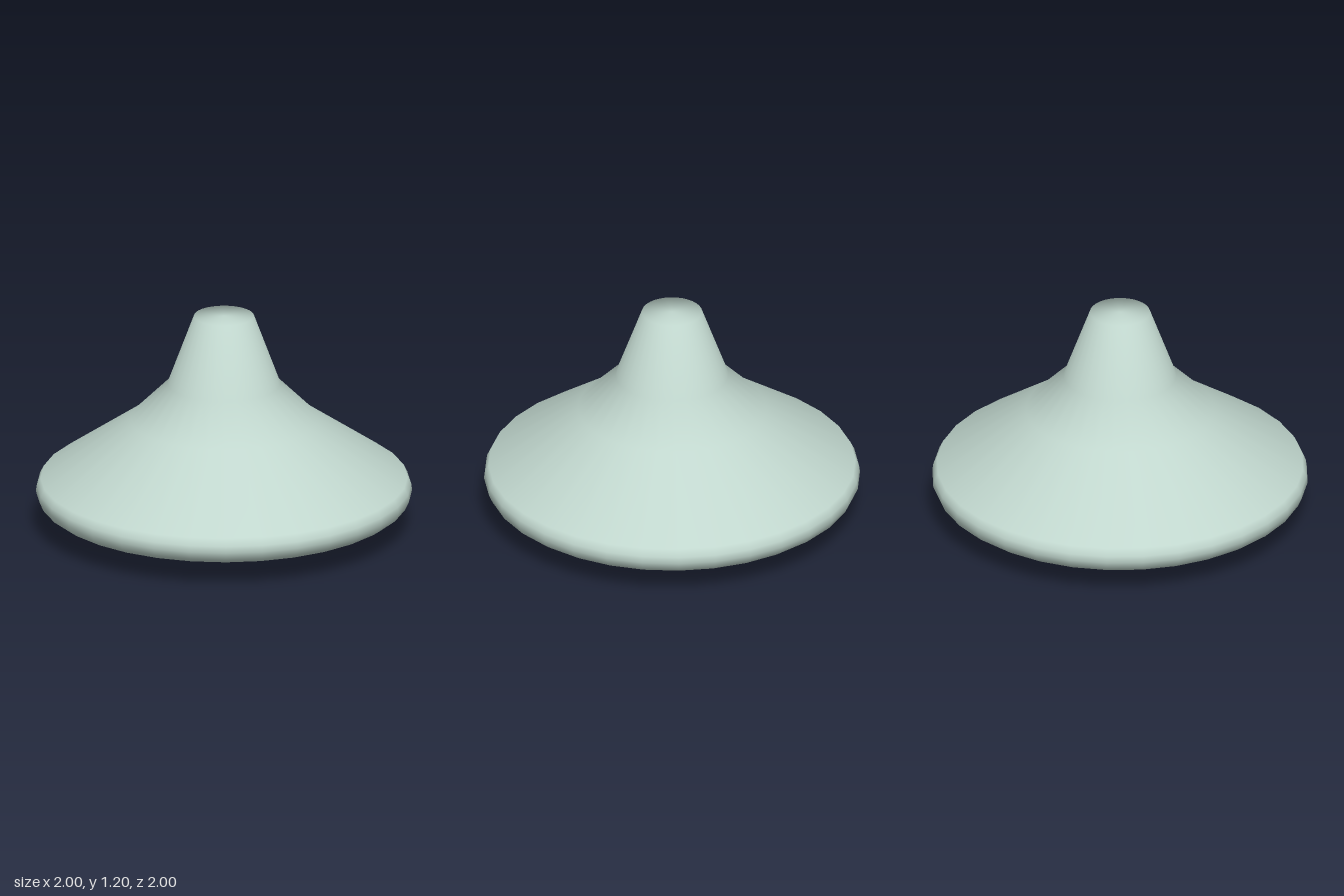
import * as THREE from 'three';

// Revolve a profile of [radius, height] pairs, listed bottom centre to top
function turned(name, profile, segments, color) {
  const points = profile.map(([r, y]) => new THREE.Vector2(r, y));
  const mesh = new THREE.Mesh(
    new THREE.LatheGeometry(points, segments),
    new THREE.MeshStandardMaterial({ color })
  );
  mesh.name = name;
  return mesh;
}

export function createModel() {
  const lamp = new THREE.Group();
  lamp.name = 'pendantLamp';

  // Shade: inner wall, rolled rim, flared body, tapered neck and closed top
  lamp.add(turned('shade', [
    [0.815, 0.36], [0.84, 0.21], [0.85, 0.155], [0.88, 0.14],
    [0.945, 0.145], [0.98, 0.17], [1, 0.215], [0.995, 0.25], [0.975, 0.29],
    [0.5, 0.62], [0.3, 0.82], [0.16, 1.2], [0, 1.2],
  ], 32, 0xc0d6cd));

  // Dark reflector closing the inside of the shade
  lamp.add(turned('reflector', [[0, 0.36], [0.4, 0.36], [0.815, 0.36]], 32, 0x222222));

  // Bulb with a rounded lower end, its upper end set into the reflector
  lamp.add(turned('bulb', [
    [0, 0.005], [0.07, 0.005], [0.13, 0.04], [0.16, 0.09],
    [0.16, 0.36], [0.13, 0.4], [0, 0.42],
  ], 16, 0xd9bd3a));

  return lamp;
}
